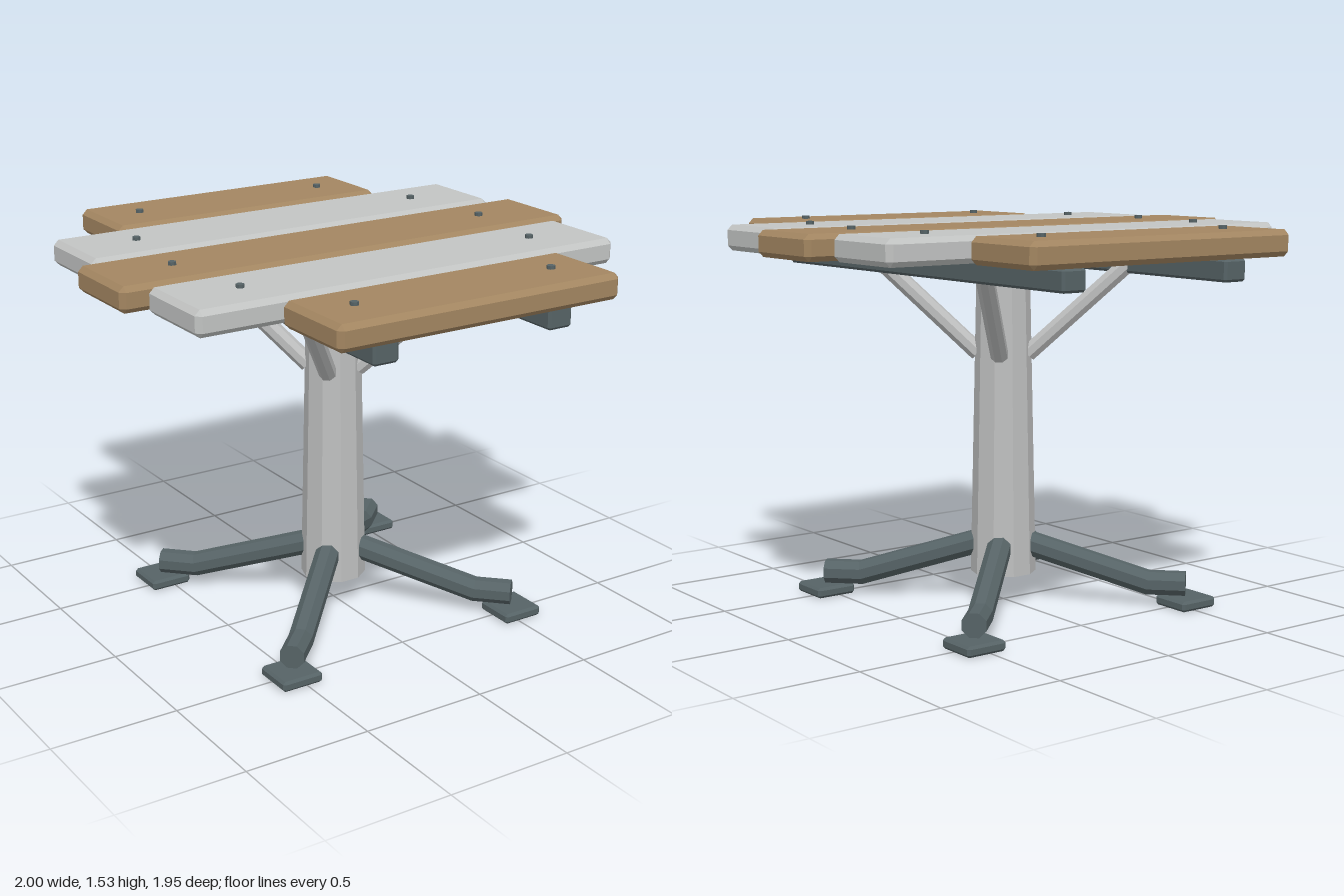
import * as THREE from 'three';
import { ConvexGeometry } from 'three/addons/geometries/ConvexGeometry.js';

const mat = (name, color) => {
  const m = new THREE.MeshStandardMaterial({ color });
  m.name = name;
  return m;
};

// split faces so that every facet is flat
const faceted = (geo) => {
  const g = geo.index ? geo.toNonIndexed() : geo;
  g.computeVertexNormals();
  return g;
};

// box with all edges chamfered by c
function chamferBox(w, h, d, c) {
  const pts = [];
  for (const sx of [-1, 1]) for (const sy of [-1, 1]) for (const sz of [-1, 1]) {
    const x = w / 2, y = h / 2, z = d / 2;
    pts.push(
      new THREE.Vector3(sx * x, sy * (y - c), sz * (z - c)),
      new THREE.Vector3(sx * (x - c), sy * y, sz * (z - c)),
      new THREE.Vector3(sx * (x - c), sy * (y - c), sz * z));
  }
  return new ConvexGeometry(pts);
}

// mitred bar along a bent path of [x, y] points in the XY plane
function bentBar(path, radius, sides) {
  const p = path.map(([x, y]) => new THREE.Vector2(x, y));
  const pos = [], index = [];
  p.forEach((q, i) => {
    const a = q.clone().sub(p[Math.max(i - 1, 0)]).normalize();
    const b = p[Math.min(i + 1, p.length - 1)].clone().sub(q).normalize();
    const t = a.clone().add(b).normalize();
    const stretch = 1 / t.dot(i ? a : b);
    for (let k = 0; k < sides; k++) {
      const ang = ((k + 0.5) / sides) * Math.PI * 2;
      const n = Math.cos(ang) * radius * stretch;
      pos.push(q.x - t.y * n, q.y + t.x * n, Math.sin(ang) * radius);
    }
  });
  for (let i = 0; i < p.length - 1; i++) for (let k = 0; k < sides; k++) {
    const a = i * sides + k, b = i * sides + (k + 1) % sides;
    index.push(a, a + sides, b, b, a + sides, b + sides);
  }
  const last = (p.length - 1) * sides;
  for (let k = 1; k < sides - 1; k++) {
    index.push(0, k, k + 1, last, last + k + 1, last + k);
  }
  // keep every facet facing outward
  for (let i = 0; i < index.length; i += 3) {
    [index[i + 1], index[i + 2]] = [index[i + 2], index[i + 1]];
  }
  const g = new THREE.BufferGeometry();
  g.setAttribute('position', new THREE.Float32BufferAttribute(pos, 3));
  g.setIndex(index);
  // make the winding outward by the sign of the enclosed volume
  let vol = 0;
  const v = (i) => new THREE.Vector3().fromArray(pos, i * 3);
  for (let i = 0; i < index.length; i += 3) {
    vol += v(index[i]).dot(v(index[i + 1]).cross(v(index[i + 2])));
  }
  if (vol < 0) g.setIndex(index.slice().reverse());
  return faceted(g);
}

export function createModel() {
  const wood = mat('wood', 0xa38661);
  const palePaint = mat('pale paint', 0xc2c4c3);
  const steel = mat('post steel', 0xbebfbf);
  const iron = mat('dark iron', 0x566366);

  const table = new THREE.Group();
  table.name = 'table';
  const add = (name, geo, material, x = 0, y = 0, z = 0, turn = 0) => {
    const m = new THREE.Mesh(geo, material);
    m.name = name;
    m.position.set(x, y, z);
    m.rotation.y = turn;
    table.add(m);
  };

  // planks with two bolts each: length, bolt offset
  const boltGeo = faceted(new THREE.CylinderGeometry(0.016, 0.016, 0.02, 8));
  const planks = [[1.21, 0.427], [1.83, 0.643], [2, 0.7], [1.83, 0.643], [1.21, 0.427]];
  planks.forEach(([length, boltX], i) => {
    const z = (i - 2) * 0.3965;
    add('plank', chamferBox(length, 0.1, 0.368, 0.02), i % 2 ? palePaint : wood, 0, 1.466, z);
    for (const s of [-1, 1]) add('bolt', boltGeo, iron, s * boltX, 1.519, z);
  });

  // support beams under the planks
  const beamGeo = chamferBox(0.106, 0.086, 1.84, 0.01);
  for (const s of [-1, 1]) add('supportBeam', beamGeo, iron, s * 0.378, 1.371, 0);

  // tapered ten-sided post
  const postGeo = faceted(new THREE.CylinderGeometry(0.105, 0.131, 1.245, 10));
  add('post', postGeo, steel, 0, 0.7425, 0, Math.PI / 2);

  // diagonal braces, legs and foot pads
  const braceGeo = bentBar([[0.1, 1.005], [0.515, 1.385]], 0.036, 8);
  const legGeo = bentBar([[0.1, 0.238], [0.585, 0.09], [0.735, 0.09]], 0.05, 8);
  const padGeo = chamferBox(0.172, 0.042, 0.172, 0.01);
  for (let k = 0; k < 4; k++) {
    const turn = Math.PI / 4 + (k * Math.PI) / 2;
    add('brace', braceGeo, steel, 0, 0, 0, turn);
    add('leg', legGeo, iron, 0, 0, 0, turn);
    add('footPad', padGeo, iron,
      Math.sign(Math.cos(turn)) * 0.52, 0.021, Math.sign(Math.sin(turn)) * 0.52);
  }
  return table;
}
